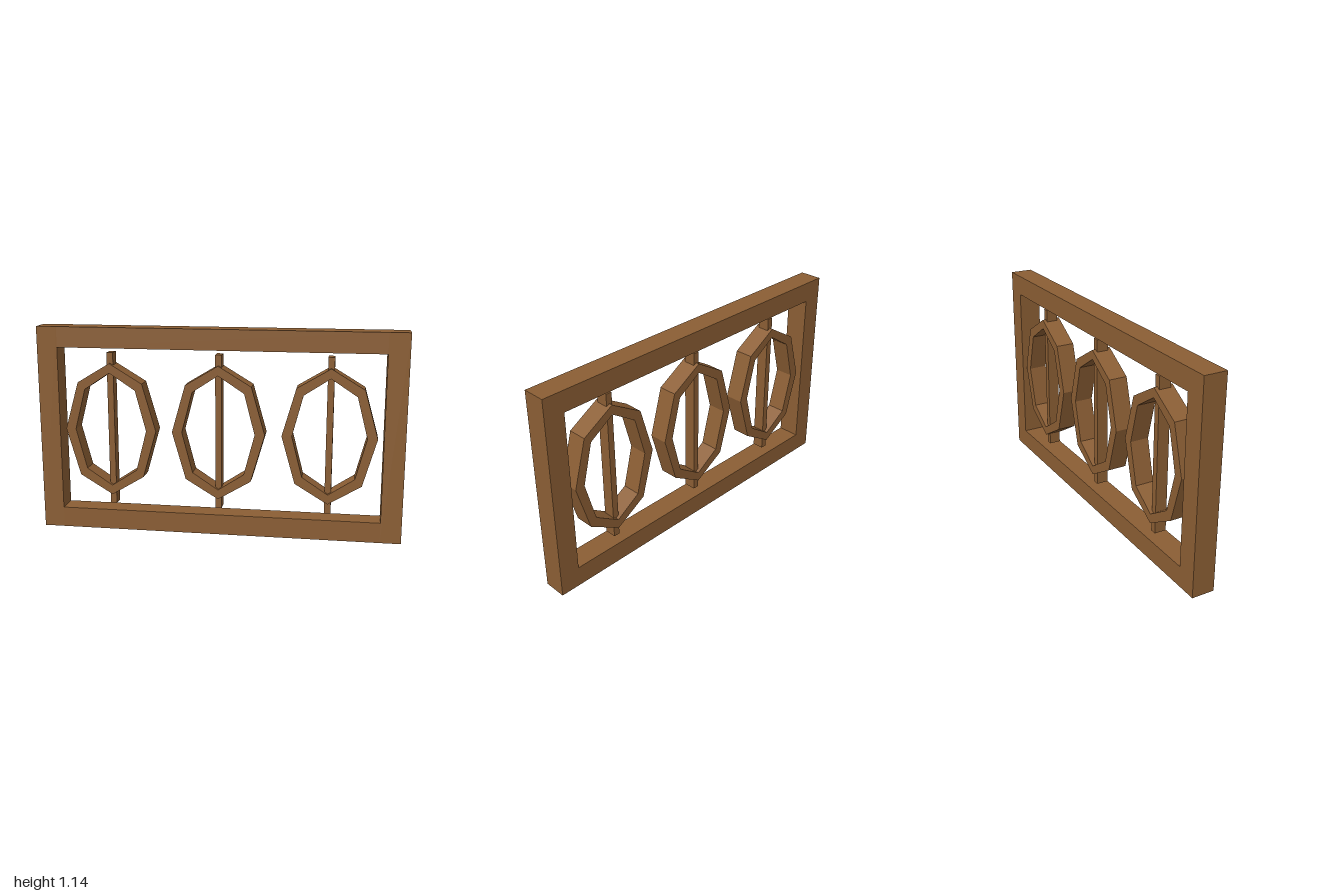
import * as THREE from 'three';

const HEIGHT = 1.14, BEAM = 0.113, DEPTH = 0.125, MID = 0.572;

export function createModel() {
  const group = new THREE.Group();
  group.name = 'railingPanel';
  const wood = new THREE.MeshStandardMaterial({ color: 0x8b5e34 });
  wood.name = 'brown wood';

  const add = (name, geometry, x, y) => {
    const mesh = new THREE.Mesh(geometry, wood);
    mesh.name = name;
    mesh.position.set(x, y, 0);
    group.add(mesh);
  };

  // Outer frame: full-height posts with rails between them
  const post = new THREE.BoxGeometry(BEAM, HEIGHT, DEPTH);
  add('leftPost', post, 1 - BEAM / 2, HEIGHT / 2);
  add('rightPost', post, -1 + BEAM / 2, HEIGHT / 2);
  const rail = new THREE.BoxGeometry(2 - 2 * BEAM, BEAM, DEPTH);
  add('topRail', rail, 0, HEIGHT - BEAM / 2);
  add('bottomRail', rail, 0, BEAM / 2);

  // Stretched eight-sided ring, flat on every side
  const octagon = (rx, ry) => Array.from({ length: 8 }, (_, i) => {
    const a = (i * Math.PI) / 4;
    return new THREE.Vector2(Math.cos(a) * rx, Math.sin(a) * ry);
  });
  const ringDepth = 0.104;
  const shape = new THREE.Shape(octagon(0.255, 0.371));
  shape.holes.push(new THREE.Path(octagon(0.2, 0.318)));
  const ring = new THREE.ExtrudeGeometry(shape, { depth: ringDepth, bevelEnabled: false });
  ring.translate(0, 0, -ringDepth / 2);

  // Three rings, each with a spindle through its middle
  const spindle = new THREE.BoxGeometry(0.035, 0.857, 0.065);
  ['right', 'middle', 'left'].forEach((side, i) => {
    const x = (i - 1) * 0.6;
    add(side + 'Ring', ring, x, MID);
    add(side + 'Spindle', spindle, x, MID);
  });
  return group;
}
